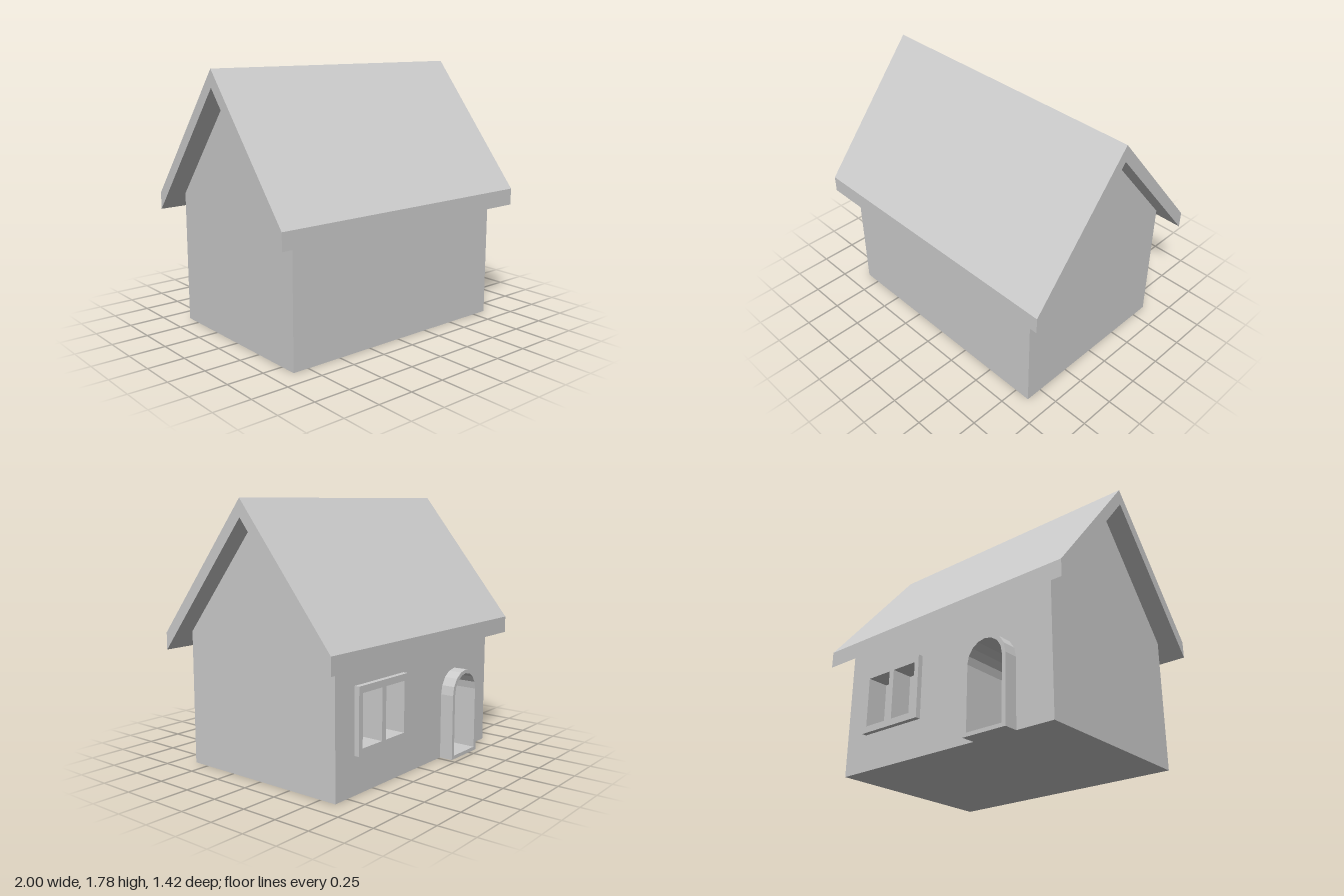
import * as THREE from 'three';

const material = new THREE.MeshStandardMaterial({ color: 0xcccccc, flatShading: true });

const rect = (x0, x1, y0, y1) =>
  [[x0, y0], [x1, y0], [x1, y1], [x0, y1]].map(([x, y]) => new THREE.Vector2(x, y));

// Round-topped outline: straight jambs under a half-circle of flat segments
function arch(cx, radius, bottom, spring, segments = 8) {
  const pts = [new THREE.Vector2(cx - radius, bottom), new THREE.Vector2(cx + radius, bottom)];
  for (let i = 0; i <= segments; i++) {
    const a = (i / segments) * Math.PI;
    pts.push(new THREE.Vector2(cx + radius * Math.cos(a), spring + radius * Math.sin(a)));
  }
  return pts;
}

function makeMesh(name, geometry) {
  const mesh = new THREE.Mesh(geometry, material);
  mesh.name = name;
  return mesh;
}

// Outline with holes in x/y, running from z0 to z1
function slab(name, outline, holes, z0, z1) {
  const shape = new THREE.Shape(outline);
  shape.holes = holes.map((h) => new THREE.Path(h));
  const geometry = new THREE.ExtrudeGeometry(shape, { depth: z1 - z0, bevelEnabled: false });
  return makeMesh(name, geometry.translate(0, 0, z0));
}

// Profile of [z, y] points, running along x and centred
function prism(name, profile, length) {
  const shape = new THREE.Shape(profile.map(([z, y]) => new THREE.Vector2(-z, y)));
  const geometry = new THREE.ExtrudeGeometry(shape, { depth: length, bevelEnabled: false });
  return makeMesh(name, geometry.translate(0, 0, -length / 2).rotateY(Math.PI / 2));
}

export function createModel() {
  const house = new THREE.Group();
  house.name = 'house';
  const halfLength = 0.86;
  const front = 0.617, back = -0.615, inner = -0.25, eave = 0.905, ridge = 1.665;

  // Openings in the back wall
  const panes = [rect(0.215, 0.41, 0.295, 0.635), rect(0.45, 0.645, 0.295, 0.635)];
  const doorway = arch(-0.435, 0.133, 0.025, 0.45);

  // Main body with gables, and the thick pierced wall under its back edge
  house.add(prism('body', [
    [front, 0], [front, eave], [0, ridge], [back, eave], [inner, eave], [inner, 0],
  ], halfLength * 2));
  house.add(slab('backWall', rect(-halfLength, halfLength, 0, eave), [...panes, doorway], back, inner));

  // Gabled roof
  house.add(prism('roof', [
    [0.71, 0.79], [0.71, 0.905], [0, 1.78], [-0.702, 0.915], [-0.702, 0.8], [0, ridge],
  ], 2));

  // Window: frame and recessed backing
  const window = new THREE.Group();
  window.name = 'window';
  window.add(slab('windowFrame', rect(0.18, 0.68, 0.25, 0.68), panes, -0.65, back));
  panes.forEach((pane) => window.add(slab('windowPane', pane, [], -0.5, -0.48)));
  house.add(window);

  // Arched door surround
  house.add(slab('doorFrame', arch(-0.435, 0.16, 0, 0.45), [doorway], -0.71, back));

  return house;
}
